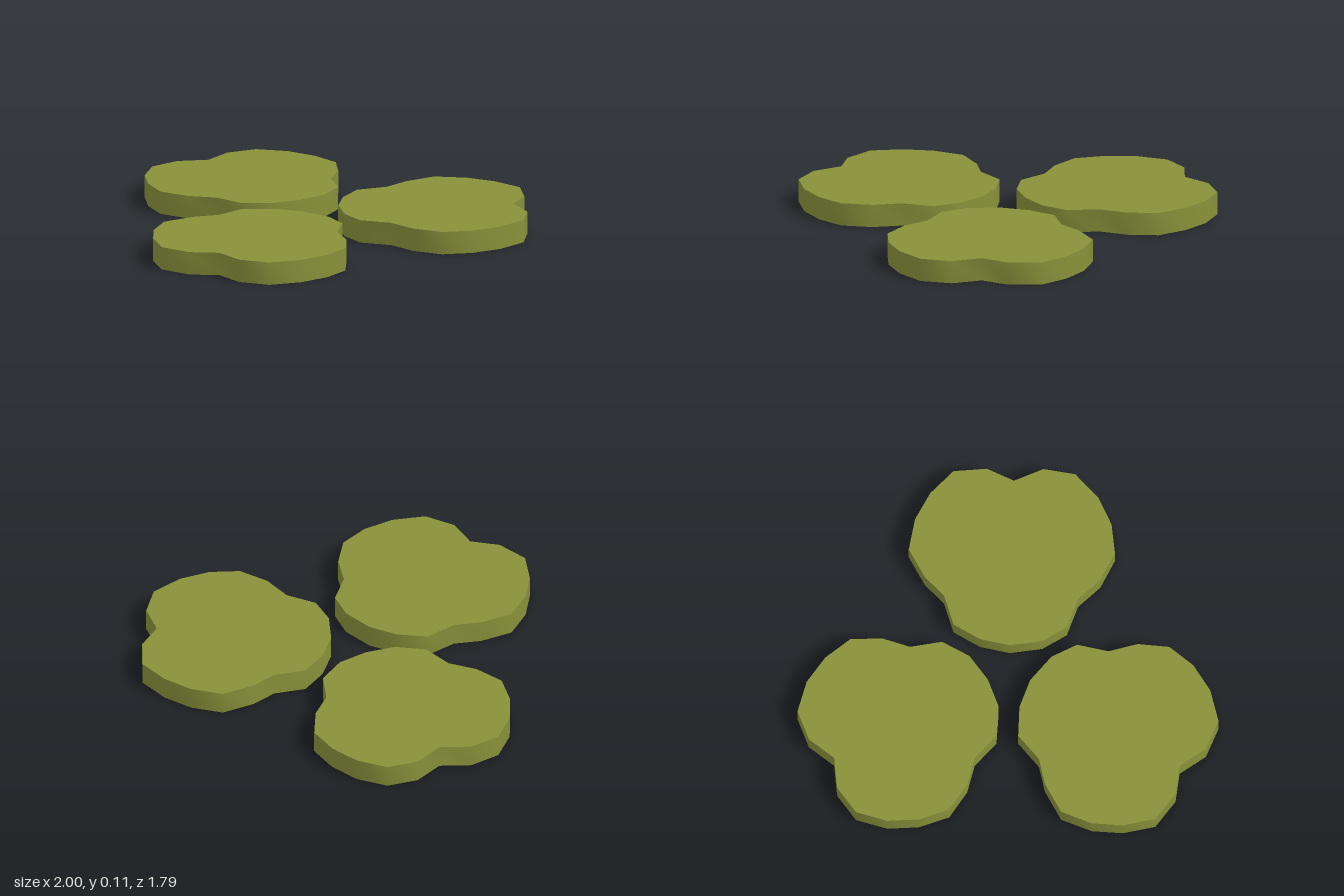
import * as THREE from 'three';
import { toCreasedNormals } from 'three/addons/utils/BufferGeometryUtils.js';

const HEIGHT = 0.11;

// Half outline [x, z] of the symmetric back pad, from rear notch to inner tip
const backHalf = [
  [0, -0.84], [0.14, -0.9], [0.29, -0.88], [0.4, -0.77], [0.465, -0.635], [0.49, -0.485],
  [0.42, -0.35], [0.32, -0.255], [0.27, -0.11], [0.145, -0.03], [0, -0.01],
];

// Full outline [x, z] of the left pad; the right pad mirrors it
const leftOutline = [
  [0.045, 0.31], [0.1, 0.165], [0.195, 0.055], [0.32, -0.02], [0.47, 0.01],
  [0.595, -0.025], [0.755, -0.025], [0.875, 0.075], [0.955, 0.2], [1, 0.35],
  [0.935, 0.495], [0.82, 0.58], [0.805, 0.73], [0.71, 0.85], [0.555, 0.89],
  [0.405, 0.88], [0.27, 0.825], [0.185, 0.7], [0.15, 0.56], [0.05, 0.445],
];

const mirror = (points) => points.map(([x, z]) => [-x, z]).reverse();

// Flat-topped pad with a softly shaded rim and crisp top and bottom edges
function makePad(name, outline, material) {
  const shape = new THREE.Shape(outline.map(([x, z]) => new THREE.Vector2(x, -z)));
  const geometry = new THREE.ExtrudeGeometry(shape, { depth: HEIGHT, bevelEnabled: false });
  geometry.rotateX(-Math.PI / 2);
  const mesh = new THREE.Mesh(toCreasedNormals(geometry, 1.2), material);
  mesh.name = name;
  return mesh;
}

export function createModel() {
  const group = new THREE.Group();
  group.name = 'threeLobedPads';
  const olive = new THREE.MeshStandardMaterial({ color: 0x88913a });
  olive.name = 'olive green';

  const backOutline = [...backHalf, ...mirror(backHalf).slice(1, -1)];
  group.add(
    makePad('backPad', backOutline, olive),
    makePad('leftPad', leftOutline, olive),
    makePad('rightPad', mirror(leftOutline), olive),
  );
  return group;
}
